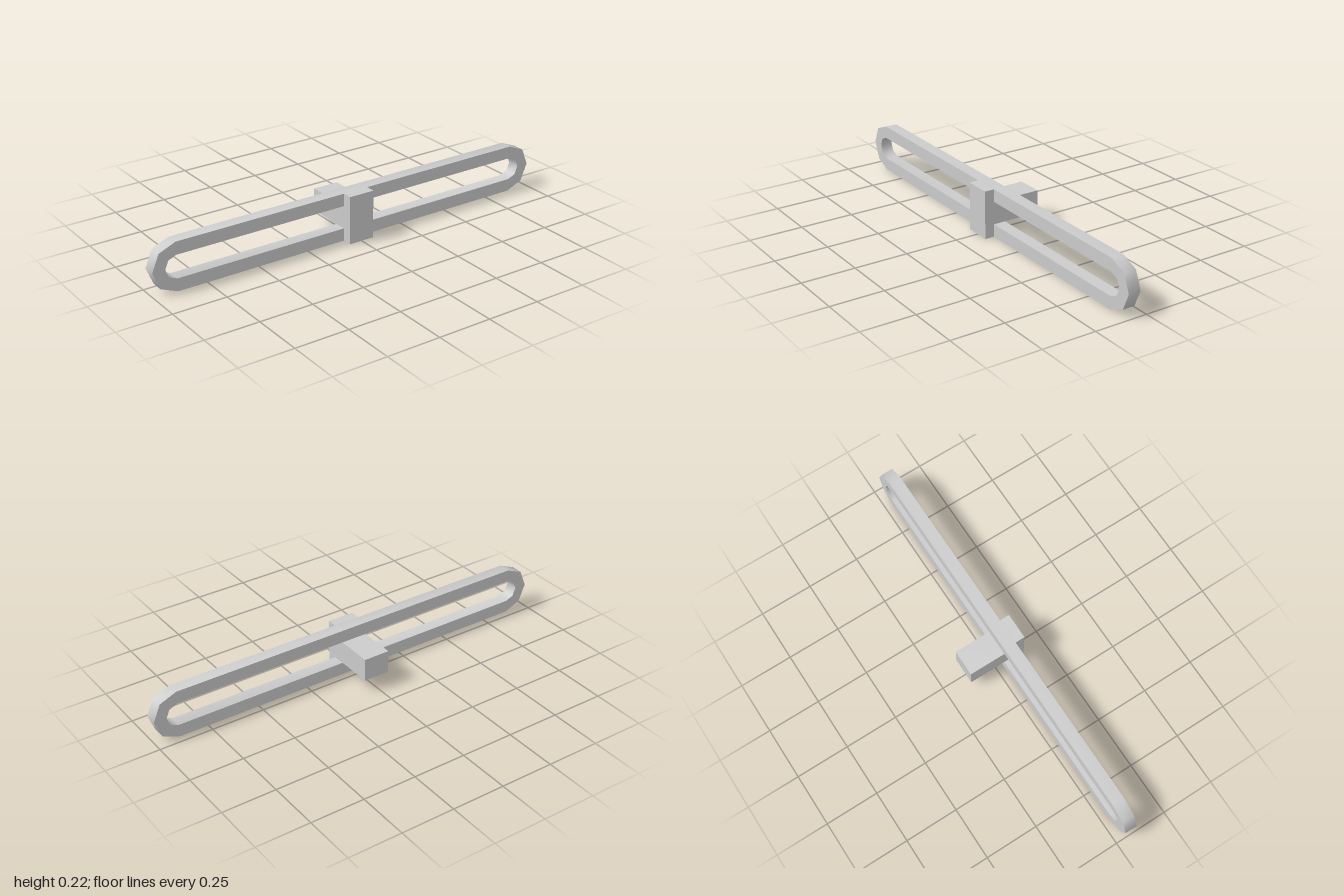
import * as THREE from 'three';
import { toCreasedNormals } from 'three/addons/utils/BufferGeometryUtils.js';

const RADIUS = 0.1125; // outer end radius, half the height
const SLOT_RADIUS = 0.0535;
const HALF_STRAIGHT = 1 - RADIUS;
const HALF_WIDTH = 0.062;

// Traces a stadium outline around the origin
function stadium(path, r) {
  path.absarc(HALF_STRAIGHT, 0, r, -Math.PI / 2, Math.PI / 2, false);
  path.absarc(-HALF_STRAIGHT, 0, r, Math.PI / 2, Math.PI * 1.5, false);
  path.closePath();
  return path;
}

export function createModel() {
  const group = new THREE.Group();
  const material = new THREE.MeshStandardMaterial({ color: 0xcccccc });

  const add = (name, geometry, y, z) => {
    const mesh = new THREE.Mesh(geometry, material);
    mesh.name = name;
    mesh.position.set(0, y, z);
    group.add(mesh);
  };
  const block = (name, y0, y1, z0, z1) =>
    add(name, new THREE.BoxGeometry(HALF_WIDTH * 2, y1 - y0, z1 - z0), (y0 + y1) / 2, (z0 + z1) / 2);

  // Long slotted loop with rounded ends
  const outline = stadium(new THREE.Shape(), RADIUS);
  outline.holes.push(stadium(new THREE.Path(), SLOT_RADIUS));
  const loop = new THREE.ExtrudeGeometry(outline, { depth: 0.058, bevelEnabled: false, curveSegments: 2 });
  add('slottedLoop', toCreasedNormals(loop, Math.PI * 0.28), RADIUS, 0.035);

  // Front plate covering the loop, and the stem running back through the slot
  block('frontPlate', 0, RADIUS * 2, 0.093, 0.139);
  block('rearStem', RADIUS - SLOT_RADIUS, RADIUS + SLOT_RADIUS, -0.139, 0.093);

  return group;
}
